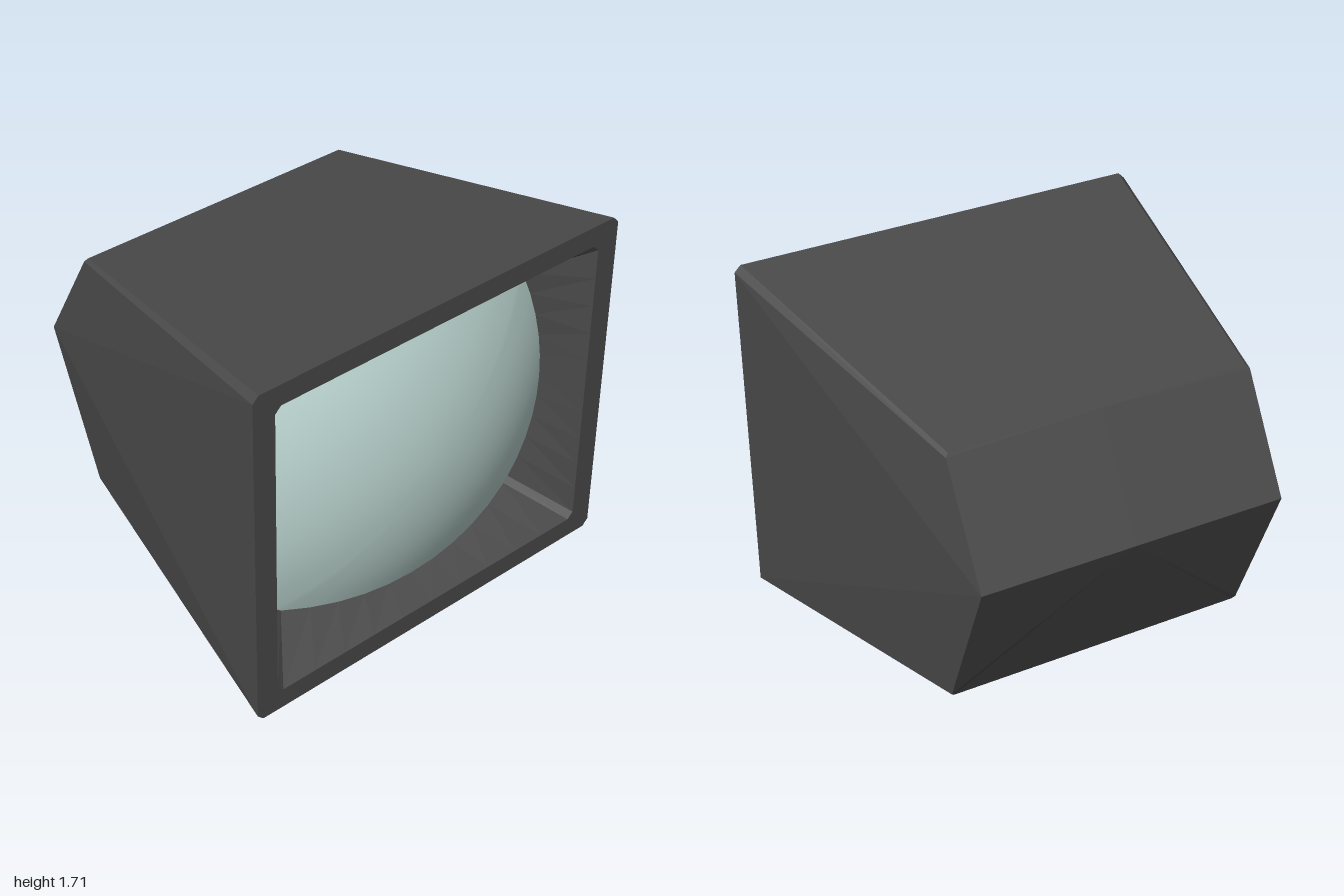
import * as THREE from 'three';

const CY = 0.855, FRONT = 0.89, SEG = 10;

function polygonsToGeometry(polygons) {
  const pos = [];
  for (const p of polygons)
    for (let i = 1; i < p.length - 1; i++) pos.push(...p[0], ...p[i], ...p[i + 1]);
  const geo = new THREE.BufferGeometry();
  geo.setAttribute('position', new THREE.Float32BufferAttribute(pos, 3));
  geo.computeVertexNormals();
  return geo;
}

// Counter-clockwise loop around the centre: four sides, each bowed outward, with cut corners
function loop(sideX, sideY, topX, topY, bowX, bowY) {
  const pts = [];
  const each = (fn) => { for (let i = 0; i <= SEG; i++) { const t = (2 * i) / SEG - 1; pts.push(fn(t, 1 - t * t)); } };
  each((t, b) => [sideX + bowX * b, t * sideY]);
  each((t, b) => [-t * topX, topY + bowY * b]);
  each((t, b) => [-sideX - bowX * b, -t * sideY]);
  each((t, b) => [t * topX, -topY - bowY * b]);
  return pts;
}

// Spherical front of the tube
const screenZ = (x, y) => FRONT - 1.75 + Math.sqrt(1.75 * 1.75 - x * x - y * y);

function chamferedRect(Type, w, h, c) {
  const p = [[w, h - c], [w - c, h], [c - w, h], [-w, h - c], [-w, c - h], [c - w, -h], [w - c, -h], [w, c - h]];
  return new Type(p.map(([x, y]) => new THREE.Vector2(x, y + CY)));
}

// Tapered cabinet with chamfered long edges and a ridged back
function cabinetGeometry() {
  const F0 = [0.97, 1.71, FRONT], F1 = [1, 1.68, FRONT], F2 = [1, 0.03, FRONT], F3 = [0.97, 0, FRONT];
  const B0 = [0.715, 1.475, -0.59], B1 = [0.73, 1.46, -0.6], B2 = [0.73, 0.255, -0.6], B3 = [0.715, 0.24, -0.59];
  const A = [0.73, 0.96, -0.89];
  const mid = (p) => [0, p[1], p[2]];
  const half = [
    [A, B1, F1, F2, B2],
    [F0, F1, B1, B0],
    [F3, B3, B2, F2],
    [mid(F0), F0, B0, mid(B0)],
    [mid(B0), B0, B1, A, mid(A)],
    [mid(A), A, B2, B3, mid(B3)],
    [mid(B3), B3, F3, mid(F3)],
  ];
  // Mirrored half keeps each polygon's first corner so the fans match
  const other = half.map(([a, ...rest]) => [a, ...rest.reverse()].map(([x, y, z]) => [-x, y, z]));
  return polygonsToGeometry([...half, ...other]);
}

// Sloping walls between the front opening and the screen edge
function recessGeometry(rim, edge) {
  const polys = rim.map((r, i) => {
    const j = (i + 1) % rim.length;
    const front = ([x, y]) => [x, y + CY, FRONT];
    const back = ([x, y]) => [x, y + CY, screenZ(x, y)];
    return [front(r), front(rim[j]), back(edge[j]), back(edge[i])];
  });
  return polygonsToGeometry(polys);
}

// Domed glass from concentric copies of its edge
function screenGeometry(edge) {
  const rings = 10, n = edge.length, pos = [0, CY, FRONT], idx = [];
  for (let k = 1; k <= rings; k++)
    for (const [ex, ey] of edge) {
      const x = (ex * k) / rings, y = (ey * k) / rings;
      pos.push(x, y + CY, screenZ(x, y));
    }
  for (let i = 0; i < n; i++) {
    const j = (i + 1) % n;
    idx.push(0, 1 + i, 1 + j);
    for (let k = 0; k < rings - 1; k++) {
      const a = 1 + k * n, b = a + n;
      idx.push(a + i, b + i, b + j, a + i, b + j, a + j);
    }
  }
  const geo = new THREE.BufferGeometry();
  geo.setAttribute('position', new THREE.Float32BufferAttribute(pos, 3));
  geo.setIndex(idx);
  geo.computeVertexNormals();
  return geo;
}

export function createModel() {
  const group = new THREE.Group();
  const shell = new THREE.MeshStandardMaterial({ color: 0x4a4a4a });
  const glass = new THREE.MeshStandardMaterial({ color: 0xc0dad5 });
  const add = (name, geo, mat) => {
    const mesh = new THREE.Mesh(geo, mat);
    mesh.name = name;
    group.add(mesh);
    return mesh;
  };

  const rim = loop(0.89, 0.725, 0.86, 0.755, 0, 0);
  const edge = loop(0.7, 0.565, 0.67, 0.59, 0.095, 0.092);

  add('cabinet', cabinetGeometry(), shell);

  // Flat frame around the opening
  const frame = chamferedRect(THREE.Shape, 1, 0.855, 0.03);
  frame.holes.push(chamferedRect(THREE.Path, 0.89, 0.755, 0.03));
  add('frontFrame', new THREE.ShapeGeometry(frame), shell).position.z = FRONT;

  add('screenRecess', recessGeometry(rim, edge), shell);
  add('screen', screenGeometry(edge), glass);
  return group;
}
